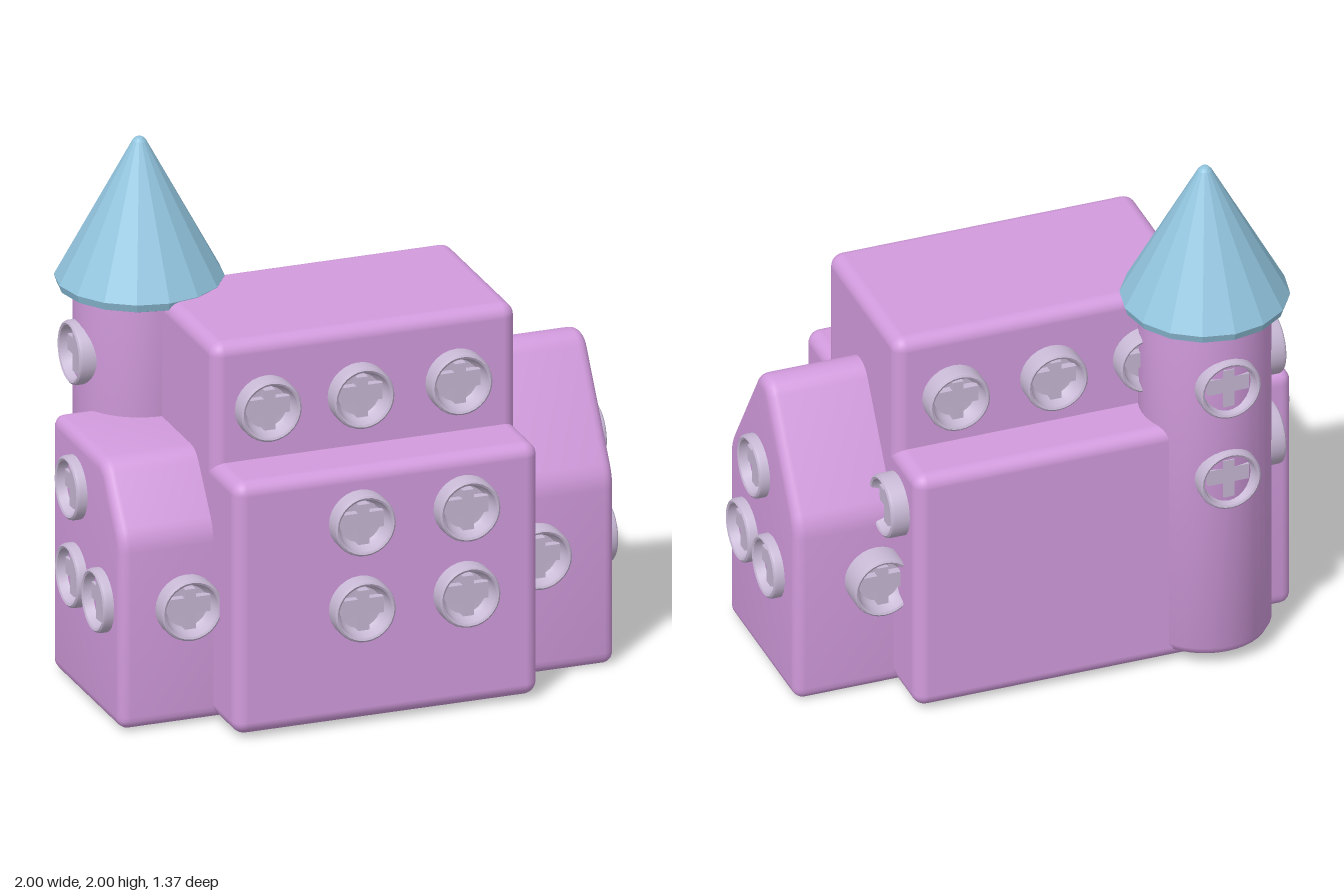
import * as THREE from 'three';
import { toCreasedNormals } from 'three/addons/utils/BufferGeometryUtils.js';
import { RoundedBoxGeometry } from 'three/addons/geometries/RoundedBoxGeometry.js';

const mat = (name, color, flatShading = false) => {
  const m = new THREE.MeshStandardMaterial({ color, flatShading });
  m.name = name;
  return m;
};

// Polygon outline with every corner rounded
function roundedShape(points, r) {
  const pts = points.map(([x, y]) => new THREE.Vector2(x, y));
  const shape = new THREE.Shape();
  pts.forEach((p, i) => {
    const prev = pts[(i + pts.length - 1) % pts.length];
    const next = pts[(i + 1) % pts.length];
    const a = p.clone().add(prev.clone().sub(p).setLength(r));
    const b = p.clone().add(next.clone().sub(p).setLength(r));
    if (i === 0) shape.moveTo(a.x, a.y);
    else shape.lineTo(a.x, a.y);
    shape.quadraticCurveTo(p.x, p.y, b.x, b.y);
  });
  shape.closePath();
  return shape;
}

const lathe = (points, sides) =>
  new THREE.LatheGeometry(points.map(([r, y]) => new THREE.Vector2(r, y)), sides);

export function createModel() {
  const model = new THREE.Group();
  const wall = mat('pinkWall', 0xd29bdd);
  const trim = mat('lavenderTrim', 0xc6b7d3);
  const roof = mat('blueRoof', 0x92c5df, true);

  const add = (name, geometry, material, parent = model) => {
    const mesh = new THREE.Mesh(geometry, material);
    mesh.name = name;
    parent.add(mesh);
    return mesh;
  };

  // Main blocks, given by their extents
  const block = (name, x0, x1, y0, y1, z0, z1) =>
    add(name, new RoundedBoxGeometry(x1 - x0, y1 - y0, z1 - z0, 4, 0.05), wall)
      .position.set((x0 + x1) / 2, (y0 + y1) / 2, (z0 + z1) / 2);
  block('lowerHall', -0.6, 0.58, 0.02, 1.0, -0.52, 0.615);
  block('upperHall', -0.6, 0.58, 0.5, 1.46, -0.305, 0.385);

  // Side wings: (z, y) profile swept along x, with softened ends
  const wing = (name, profile, r, x0, x1) => {
    const bevel = 0.04;
    const geo = new THREE.ExtrudeGeometry(
      roundedShape(profile.map(([z, y]) => [-z, y]), r),
      { depth: x1 - x0 - 2 * bevel, bevelSize: bevel, bevelThickness: bevel,
        bevelOffset: -bevel, bevelSegments: 4, curveSegments: 5 });
    geo.rotateY(Math.PI / 2);
    geo.translate(x0 + bevel, 0, 0);
    add(name, toCreasedNormals(geo, 0.6), wall);
  };
  wing('gabledWing',
    [[0.39, 0.005], [-0.29, 0.005], [-0.29, 0.74], [0.0, 1.195], [0.1, 1.195], [0.39, 0.74]],
    0.05, 0.3, 0.96);
  wing('slopedWing',
    [[0.39, 0.01], [-0.31, 0.01], [-0.31, 1.0], [0.21, 1.0], [0.39, 0.75]],
    0.05, -0.96, -0.4);

  // Round tower with a cone roof
  const tower = new THREE.Group();
  tower.name = 'tower';
  tower.position.set(-0.595, 0, -0.375);
  model.add(tower);
  add('towerBody', toCreasedNormals(lathe(
    [[0, 0.05], [0.2, 0.05], [0.228, 0.062], [0.243, 0.09], [0.243, 1.44]], 40), 0.7), wall, tower);
  add('towerRoof', lathe(
    [[0, 1.42], [0.27, 1.42], [0.3, 1.432], [0.31, 1.462], [0.026, 1.985], [0.015, 1.997], [0, 2.0]], 16),
    roof, tower);

  // Porthole window: dished rim with a cross of bars inside, facing +z
  const rimGeo = toCreasedNormals(lathe(
    [[0.12, -0.1], [0.12, 0.055], [0.117, 0.065], [0.11, 0.07], [0.102, 0.066],
      [0.092, 0.025], [0.08, 0.012], [0, 0.01]], 28).rotateX(Math.PI / 2), 0.6);
  const barGeo = new THREE.BoxGeometry(0.16, 0.062, 0.03);
  const postGeo = new THREE.BoxGeometry(0.042, 0.155, 0.04);
  const windowAt = (x, y, z, turn) => {
    const g = new THREE.Group();
    g.name = 'window';
    add('windowRim', rimGeo, trim, g);
    add('crossBar', barGeo, trim, g).position.set(0, 0.012, 0.027);
    add('crossPost', postGeo, trim, g).position.z = 0.027;
    g.position.set(x, y, z);
    g.rotation.y = turn;
    model.add(g);
  };
  const FRONT = 0, BACK = Math.PI, LEFT = Math.PI / 2, RIGHT = -Math.PI / 2;

  // Upper hall, front and back
  for (const x of [-0.395, -0.035, 0.345]) {
    windowAt(x, 1.2, 0.38, FRONT);
    windowAt(x + 0.01, 1.2, -0.31, BACK);
  }
  // Lower hall, front and one on the left side
  for (const x of [-0.118, 0.288]) {
    windowAt(x, 0.8, 0.61, FRONT);
    windowAt(x, 0.465, 0.61, FRONT);
  }
  windowAt(0.58, 0.8, -0.335, LEFT);
  // Wing fronts and back
  windowAt(-0.705, 0.47, 0.385, FRONT);
  windowAt(0.65, 0.48, 0.39, FRONT);
  windowAt(0.65, 0.48, -0.32, BACK);
  // Wing ends
  windowAt(0.93, 0.8, 0.09, LEFT);
  windowAt(-0.93, 0.8, -0.065, RIGHT);
  for (const z of [-0.06, 0.205]) {
    windowAt(0.93, 0.46, z, LEFT);
    windowAt(-0.93, 0.46, z, RIGHT);
  }
  // Tower windows, sunk into the round wall
  for (const y of [0.81, 1.195]) {
    windowAt(-0.595, y, -0.575, BACK);
    windowAt(-0.8, y, -0.375, RIGHT);
  }

  return model;
}
